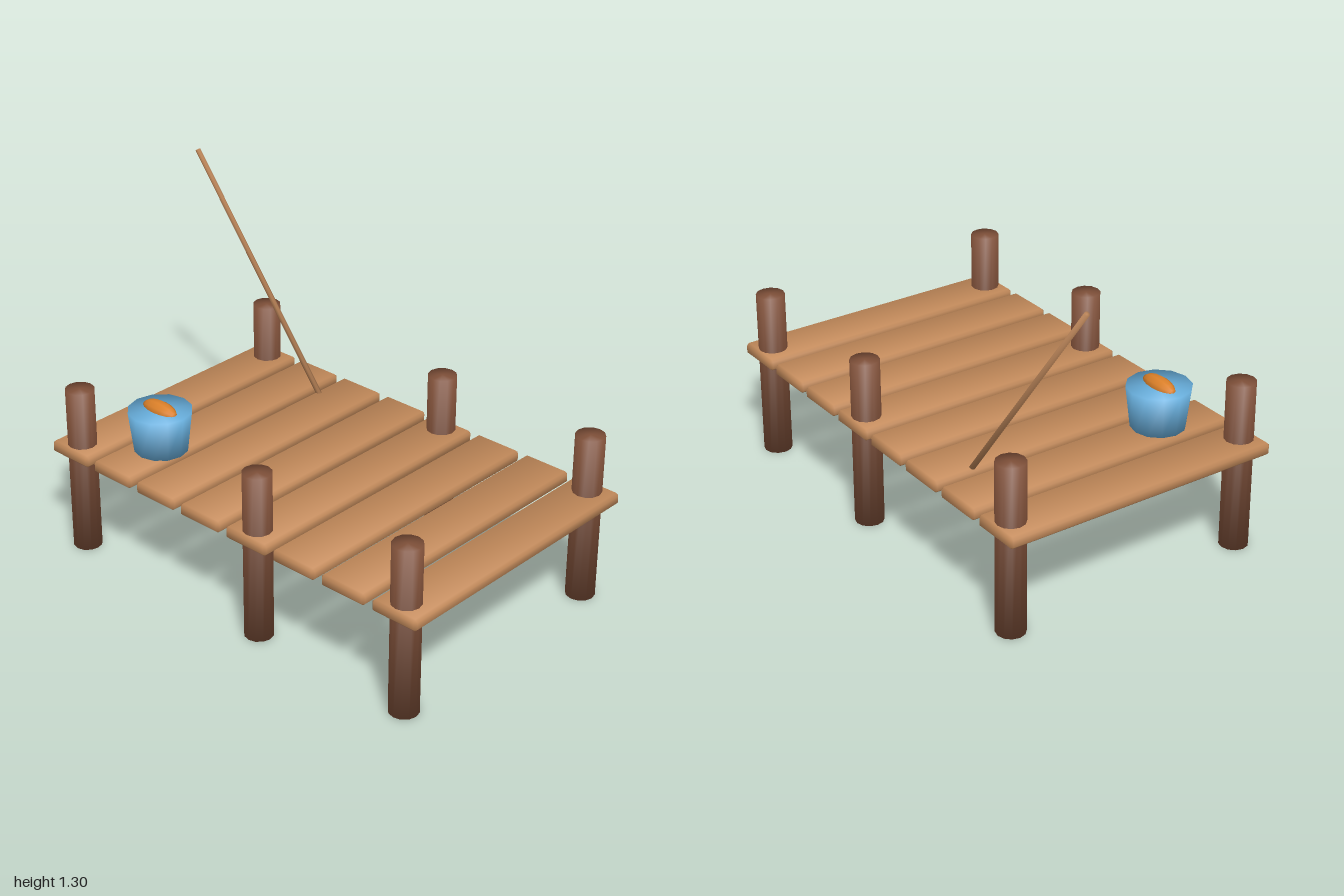
import * as THREE from 'three';
import { ConvexGeometry } from 'three/addons/geometries/ConvexGeometry.js';

const paint = (name, color) => {
  const m = new THREE.MeshStandardMaterial({ color });
  m.name = name;
  return m;
};

// Smooth shading across every edge: corner-angle weighted normals shared by position.
function soften(source) {
  const geo = source.index ? source.toNonIndexed() : source;
  const pos = geo.attributes.position;
  const key = (v) => v.toArray().map((n) => Math.round(n * 1e4)).join();
  const sums = new Map();
  for (let i = 0; i < pos.count; i += 3) {
    const p = [0, 1, 2].map((k) => new THREE.Vector3().fromBufferAttribute(pos, i + k));
    const n = p[1].clone().sub(p[0]).cross(p[2].clone().sub(p[0]));
    if (n.lengthSq() < 1e-16) continue;
    n.normalize();
    p.forEach((v, k) => {
      const a = p[(k + 1) % 3].clone().sub(v);
      const b = p[(k + 2) % 3].clone().sub(v);
      const id = key(v);
      if (!sums.has(id)) sums.set(id, new THREE.Vector3());
      sums.get(id).addScaledVector(n, a.angleTo(b));
    });
  }
  const normals = [];
  for (let i = 0; i < pos.count; i++) {
    const n = sums.get(key(new THREE.Vector3().fromBufferAttribute(pos, i))) || new THREE.Vector3(0, 1, 0);
    normals.push(...n.clone().normalize().toArray());
  }
  geo.setAttribute('normal', new THREE.Float32BufferAttribute(normals, 3));
  return geo;
}

// Box with all twelve edges chamfered by c.
function chamferedBox(w, h, d, c) {
  const half = [w / 2, h / 2, d / 2];
  const points = [];
  for (const sx of [-1, 1]) for (const sy of [-1, 1]) for (const sz of [-1, 1]) {
    for (let axis = 0; axis < 3; axis++) {
      const q = half.map((v, i) => (i === axis ? v : v - c));
      points.push(new THREE.Vector3(q[0] * sx, q[1] * sy, q[2] * sz));
    }
  }
  return new ConvexGeometry(points);
}

export function createModel() {
  const group = new THREE.Group();
  group.name = 'fishingDock';
  const plankWood = paint('plankWood', 0xc48b5b);
  const postWood = paint('postWood', 0x7f5039);
  const rodWood = paint('rodWood', 0xb98357);
  const bucketBlue = paint('bucketBlue', 0x69b0de);
  const fishOrange = paint('fishOrange', 0xdb8029);

  const add = (name, geometry, material, x, y, z) => {
    const mesh = new THREE.Mesh(geometry, material);
    mesh.name = name;
    mesh.position.set(x, y, z);
    group.add(mesh);
    return mesh;
  };

  // Deck planks
  const plankGeo = soften(chamferedBox(1.146, 0.048, 0.198, 0.01));
  for (let i = 0; i < 8; i++) add('plank' + (i + 1), plankGeo, plankWood, 0, 0.419, 0.896 - i * 0.2307);

  // Posts in three pairs
  const postGeo = soften(new THREE.CylinderGeometry(0.056, 0.056, 0.675, 12));
  for (const z of [0.896, 0.204, -0.719]) {
    add('leftPost', postGeo, postWood, 0.505, 0.3375, z);
    add('rightPost', postGeo, postWood, -0.505, 0.3375, z);
  }

  // Bucket with a fish lying in its top
  add('bucket', soften(new THREE.CylinderGeometry(0.124, 0.104, 0.165, 12)), bucketBlue, -0.328, 0.5245, -0.473);
  const fishGeo = new THREE.SphereGeometry(1, 10, 8);
  fishGeo.rotateX(Math.PI / 2).scale(0.038, 0.036, 0.084);
  add('fish', fishGeo, fishOrange, -0.328, 0.604, -0.473);

  // Rod leaning out over the back
  const foot = new THREE.Vector3(0.405, 0.437, -0.338);
  const tip = new THREE.Vector3(0.405, 1.295, -0.992);
  const along = tip.clone().sub(foot);
  const mid = foot.clone().add(tip).multiplyScalar(0.5);
  const rodGeo = soften(new THREE.CylinderGeometry(0.01, 0.011, along.length(), 8));
  const rod = add('fishingRod', rodGeo, rodWood, mid.x, mid.y, mid.z);
  rod.quaternion.setFromUnitVectors(new THREE.Vector3(0, 1, 0), along.normalize());

  return group;
}
